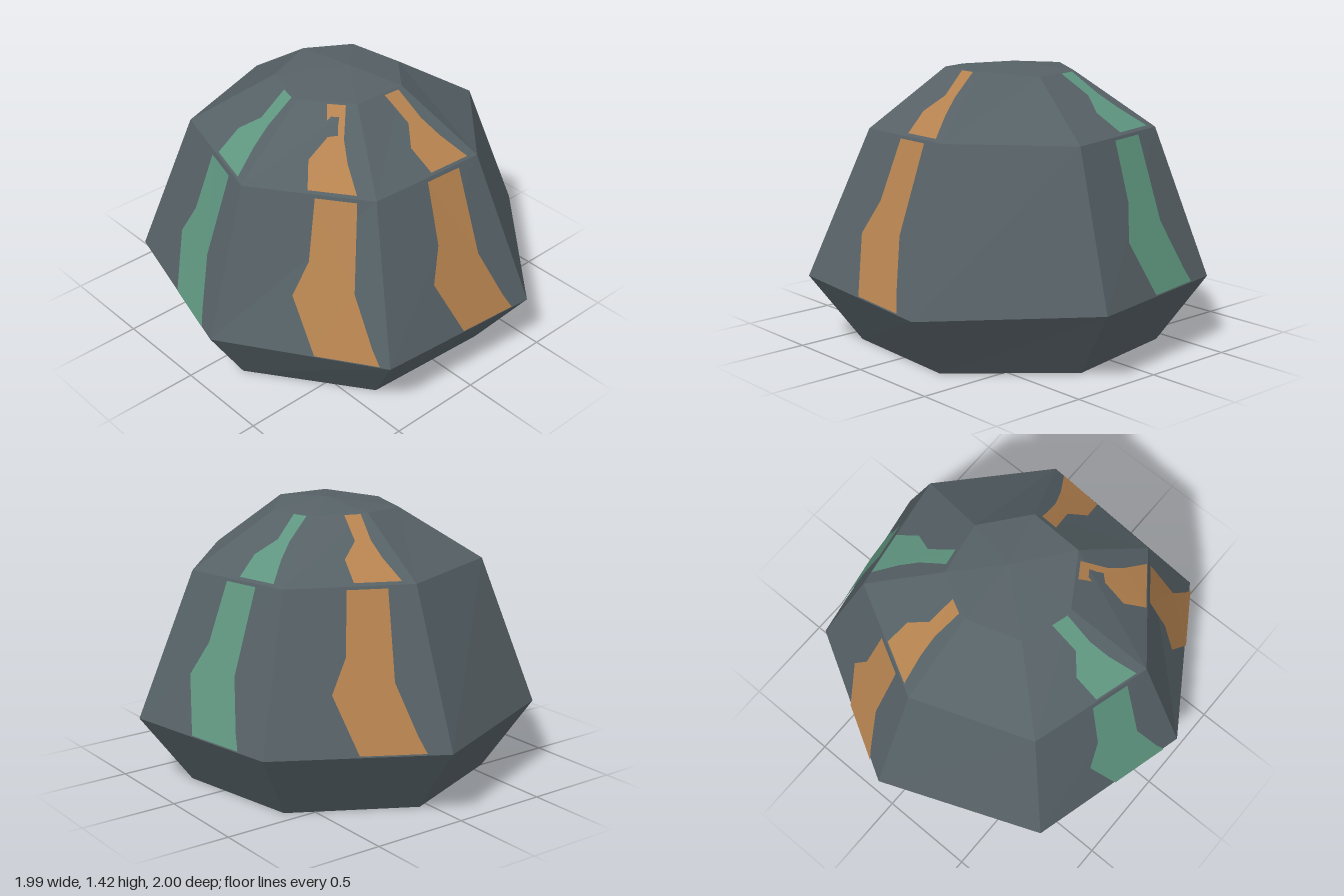
import * as THREE from 'three';

// Heptagonal rings, ordered so that each facet runs left to right seen from outside
const ringXZ = {
  foot: [[-0.75, -0.05], [-0.5, 0.58], [0.15, 0.78], [0.71, 0.38], [0.75, -0.3], [0.24, -0.75], [-0.42, -0.63]],
  waist: [[-1, -0.06], [-0.67, 0.77], [0.19, 1], [0.94, 0.51], [0.99, -0.4], [0.32, -1], [-0.56, -0.84]],
  shoulder: [[-0.7, -0.05], [-0.48, 0.56], [0.15, 0.74], [0.66, 0.35], [0.7, -0.28], [0.23, -0.72], [-0.4, -0.61]],
  crown: [[-0.29, -0.03], [-0.2, 0.24], [0.07, 0.32], [0.32, 0.16], [0.33, -0.12], [0.11, -0.31], [-0.17, -0.26]],
};
const ringY = {
  foot: [0, 0, 0, 0, 0, 0, 0],
  waist: [0.35, 0.365, 0.35, 0.355, 0.33, 0.355, 0.355],
  shoulder: [1.115, 1.12, 1.11, 1.1, 1.11, 1.1, 1.11],
  crown: [1.39, 1.375, 1.38, 1.4, 1.4, 1.375, 1.38],
};
const SIDES = 7;
const ring = (name) => ringXZ[name].map(([x, z], i) => new THREE.Vector3(x, ringY[name][i], z));

// Unshared corners give flat facets
function facets(triangles) {
  const geo = new THREE.BufferGeometry().setFromPoints(triangles.flat());
  geo.computeVertexNormals();
  return geo;
}

function band(low, high) {
  const tris = [];
  for (let i = 0; i < SIDES; i++) {
    const j = (i + 1) % SIDES;
    tris.push([low[i], low[j], high[j]], [low[i], high[j], high[i]]);
  }
  return facets(tris);
}

function cap(points, centre, up) {
  return facets(points.map((p, i) => {
    const q = points[(i + 1) % SIDES];
    return up ? [p, q, centre] : [q, p, centre];
  }));
}

// Vein outlines in facet coordinates: u across, v up
const lowerVein = [[0.535, 0.01], [0.895, 0.01], [0.86, 0.11], [0.77, 0.43], [0.81, 0.98],
  [0.5, 0.98], [0.48, 0.59], [0.39, 0.37]];
const upperVein = [[0.55, 0.03], [0.92, 0.03], [0.86, 0.35], [0.83, 0.6], [0.87, 0.97],
  [0.57, 0.97], [0.64, 0.6], [0.5, 0.35]];

// Lays a vein outline on one facet, just proud of the surface
function vein(outline, low, high, i, shift) {
  const j = (i + 1) % SIDES;
  const normal = high[j].clone().sub(low[i]).cross(high[i].clone().sub(low[j])).normalize();
  const pts = outline.map(([u, v]) => {
    const a = low[i].clone().lerp(low[j], u + shift);
    const b = high[i].clone().lerp(high[j], u + shift);
    return a.lerp(b, v).addScaledVector(normal, 0.009);
  });
  const flat = outline.map(([u, v]) => new THREE.Vector2(u, v));
  return facets(THREE.ShapeUtils.triangulateShape(flat, []).map((t) => t.map((k) => pts[k])));
}

export function createModel() {
  const group = new THREE.Group();
  const material = (name, color) => {
    const m = new THREE.MeshStandardMaterial({ color });
    m.name = name;
    return m;
  };
  const stone = material('slate stone', 0x566166);
  const green = material('green mineral', 0x5f9680);
  const orange = material('copper mineral', 0xb5824f);
  const add = (name, geo, mat) => {
    const mesh = new THREE.Mesh(geo, mat);
    mesh.name = name;
    group.add(mesh);
  };

  const foot = ring('foot'), waist = ring('waist'), shoulder = ring('shoulder'), crown = ring('crown');

  // Boulder
  add('underside', cap(foot, new THREE.Vector3(0, 0, 0), false), stone);
  add('base', band(foot, waist), stone);
  add('body', band(waist, shoulder), stone);
  add('upperSlope', band(shoulder, crown), stone);
  add('peak', cap(crown, new THREE.Vector3(0.04, 1.425, -0.04), true), stone);

  // Mineral veins: facet index, colour, sideways shift of lower and upper piece
  const veins = [
    [1, green, 0, 0],
    [2, orange, 0.05, -0.06],
    [3, orange, -0.02, -0.01],
    [5, green, -0.08, -0.02],
    [6, orange, -0.03, -0.02],
  ];
  veins.forEach(([side, mat, lowShift, highShift], n) => {
    add(`lowerVein${n + 1}`, vein(lowerVein, waist, shoulder, side, lowShift), mat);
    add(`upperVein${n + 1}`, vein(upperVein, shoulder, crown, side, highShift), mat);
  });
  return group;
}
